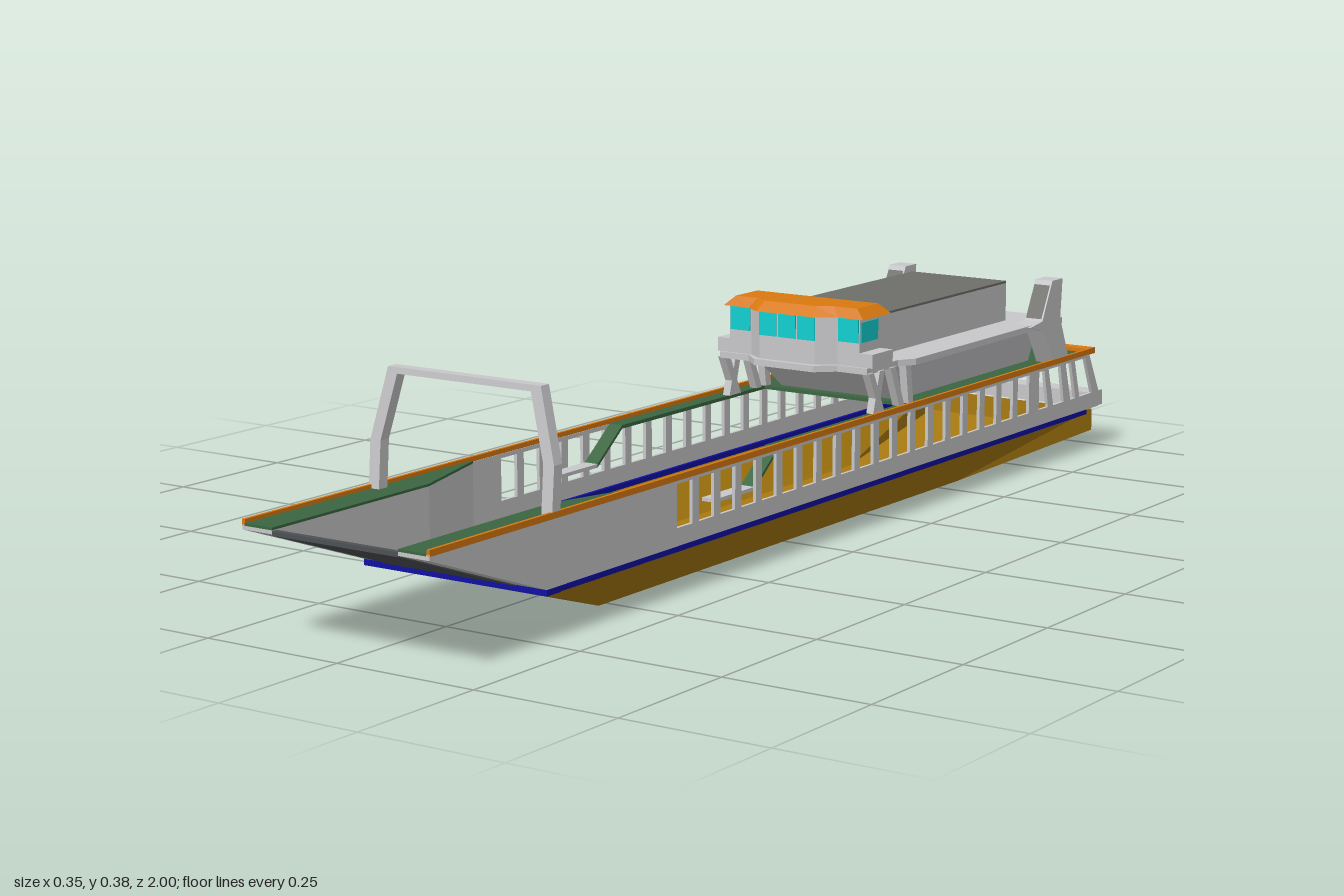
import * as THREE from 'three';

const mat = (name, color, double) => {
  const m = new THREE.MeshStandardMaterial({ color });
  m.name = name;
  if (double) m.side = THREE.DoubleSide;
  return m;
};

export function createModel() {
  const ship = new THREE.Group();
  ship.name = 'vehicleFerry';
  const grey = mat('lightGrey', 0xc8c8ca), gold = mat('gold', 0xa87a10, true);
  const navy = mat('navy', 0x1010a4), green = mat('deckGreen', 0x3b6641);
  const orange = mat('orange', 0xd9790f), cyan = mat('windowCyan', 0x10d0d2);
  const roofGrey = mat('roofGrey', 0x6e6e6b), rampGrey = mat('rampGrey', 0x4e5153);

  const add = (name, geo, m, parent = ship) => {
    const mesh = new THREE.Mesh(geo, m);
    mesh.name = name;
    parent.add(mesh);
    return mesh;
  };
  // Box given by its limits
  const box = (name, m, x0, x1, y0, y1, z0, z1, parent) => add(name,
    new THREE.BoxGeometry(x1 - x0, y1 - y0, z1 - z0)
      .translate((x0 + x1) / 2, (y0 + y1) / 2, (z0 + z1) / 2), m, parent);
  const toShape = (pts, holes = []) => {
    const s = new THREE.Shape(pts.map(p => new THREE.Vector2(...p)));
    s.holes = holes.map(h => new THREE.Path(h.map(p => new THREE.Vector2(...p))));
    return s;
  };
  const extrude = (pts, depth, holes) =>
    new THREE.ExtrudeGeometry(toShape(pts, holes), { depth, bevelEnabled: false });
  // Side profile in (z, y), spanning x0..x1
  const profile = (pts, x0, x1, holes) =>
    extrude(pts, x1 - x0, holes).rotateY(-Math.PI / 2).translate(x1, 0, 0);
  // Plan outline in (x, z), spanning y0..y1
  const plan = (pts, y0, y1) => extrude(pts, y1 - y0).rotateX(Math.PI / 2).translate(0, y1, 0);
  // Mirror a half outline across x = 0
  const both = half => [...half, ...half.map(([x, b]) => [-x, b]).reverse()];
  // Faces from corner loops
  const faces = loops => {
    const p = [];
    for (const l of loops)
      for (let i = 1; i < l.length - 1; i++) p.push(...l[0], ...l[i], ...l[i + 1]);
    const g = new THREE.BufferGeometry();
    g.setAttribute('position', new THREE.Float32BufferAttribute(p, 3));
    g.computeVertexNormals();
    return g;
  };

  // Open hull shell with sloping sides, bow and stern
  const mir = ([x, y, z]) => [-x, y, z];
  const A = [0.115, 0, 0.52], B = [0.115, 0, -0.57], C = [0.175, 0.069, 0.73];
  const D = [0.175, 0.075, -0.96], E = [0.175, 0.035, -0.96];
  const sideFaces = [[A, B, D, C], [B, E, D]];
  add('hull', faces([
    ...sideFaces, ...sideFaces.map(f => f.map(mir).reverse()),
    [A, C, mir(C), mir(A)], [B, A, mir(A), mir(B)], [E, B, mir(B), mir(E)], [D, E, mir(E), mir(D)],
  ]), gold);

  // Waterline band at the bow, and stern beam
  box('bowBand', navy, -0.175, 0.175, 0.067, 0.077, 0.695, 0.73);
  box('sternBeam', grey, -0.175, 0.175, 0.078, 0.106, -1, -0.957);

  // Bow ramp
  add('bowRamp', profile([[0.72, 0.077], [0.73, 0.075], [1, 0.173], [1, 0.18], [0.99, 0.18]],
    -0.118, 0.118), rampGrey);

  // Parts repeated on both sides
  const makeSide = (name, s) => {
    const g = new THREE.Group();
    g.name = name;
    g.scale.x = s;
    ship.add(g);
    box('waterlineLedge', navy, 0.163, 0.1752, 0.068, 0.077, -0.94, 0.73, g);

    // Side wall with a row of openings
    const holes = [];
    for (let i = 0; i < 19; i++) {
      const z = 0.395 - i * 0.0595;
      holes.push([[z, 0.106], [z, 0.176], [z - 0.042, 0.176], [z - 0.042, 0.106]]);
    }
    holes.push([[-0.755, 0.106], [-0.755, 0.176], [-0.775, 0.176], [-0.79, 0.106]]);
    holes.push([[-0.81, 0.106], [-0.79, 0.176], [-0.835, 0.176], [-0.85, 0.106]]);
    holes.push([[-0.875, 0.106], [-0.855, 0.176], [-0.875, 0.176], [-0.895, 0.106]]);
    holes.push([[-0.91, 0.106], [-0.89, 0.176], [-0.93, 0.176], [-0.96, 0.106]]);
    add('sideWall', profile([[1, 0.183], [1, 0.175], [0.73, 0.077], [-0.985, 0.077],
      [-0.985, 0.106], [-0.945, 0.183]], 0.169, 0.175, holes), grey, g);
    box('orangeRail', orange, 0.17, 0.1756, 0.181, 0.191, -0.945, 1, g);

    // Hollow-looking bow box that flares into the side wall
    const ring = ([z, x, y]) => [[x, y, z], [0.172, y, z], [0.172, 0.181, z], [x, 0.181, z]];
    const rings = [[0.47, 0.167, 0.077], [0.64, 0.118, 0.077], [0.73, 0.118, 0.077],
      [1, 0.118, 0.175]].map(ring);
    const loops = [[...rings[0]].reverse(), rings[3]];
    for (let i = 0; i < 3; i++)
      for (let k = 0; k < 4; k++) {
        const n = (k + 1) % 4;
        loops.push([rings[i][k], rings[i][n], rings[i + 1][n], rings[i + 1][k]]);
      }
    add('bowBox', faces(loops), grey, g);
    add('bowDeck', plan([[0.167, 0.47], [0.118, 0.64], [0.118, 1], [0.171, 1], [0.171, 0.47]],
      0.181, 0.185), green, g);

    // Walkway, stair and landing
    box('walkway', green, 0.143, 0.17, 0.178, 0.184, -0.33, 0.1, g);
    add('stair', profile([[0.1, 0.184], [0.17, 0.13], [0.17, 0.124], [0.1, 0.178]],
      0.143, 0.169), green, g);
    box('landing', grey, 0.143, 0.169, 0.124, 0.13, 0.17, 0.28, g);

    // Slanted props below the bridge deck
    for (const [zt, zb, x] of [[-0.2, -0.235, 0.14], [-0.235, -0.215, 0.14], [-0.27, -0.3, 0.14],
      [-0.32, -0.33, 0.14]])
      add('bridgeProp', profile([[zt, 0.255], [zt - 0.016, 0.255], [zb - 0.016, 0.184],
        [zb, 0.184]], x, x + 0.014), grey, g);

    // Funnel with raked foot
    add('funnel', profile([[-0.72, 0.262], [-0.765, 0.268], [-0.8, 0.338], [-0.838, 0.338],
      [-0.832, 0.265], [-0.868, 0.184], [-0.81, 0.184], [-0.77, 0.25]], 0.138, 0.174), grey, g);
    add('funnelRecess', faces([[[0.14, 0.272, -0.7643], [0.172, 0.272, -0.7643],
      [0.172, 0.33, -0.7941], [0.14, 0.33, -0.7941]]]), roofGrey, g);

    // Bridge wing
    box('bridgeWing', grey, 0.13, 0.158, 0.264, 0.288, -0.27, -0.205, g);
    add('aftBrace', profile([[-0.8, 0.25], [-0.815, 0.25], [-0.86, 0.184], [-0.845, 0.184]],
      0.05, 0.065), grey, g);
  };
  makeSide('leftSide', 1);
  makeSide('rightSide', -1);

  // Upper deck over the stern, with its orange edge
  box('sternDeck', green, -0.17, 0.17, 0.178, 0.184, -0.945, -0.33);
  box('sternRail', orange, -0.175, 0.175, 0.18, 0.191, -0.968, -0.943);

  // Bow gantry, leaning forward at the foot
  const gantry = extrude(both([[0.175, 0.183], [0.175, 0.26], [0.145, 0.375]])
    .concat([[-0.155, 0.183], [-0.155, 0.26], [-0.127, 0.365], [0.127, 0.365],
      [0.155, 0.26], [0.155, 0.183]]), 0.02);
  const gp = gantry.attributes.position;
  for (let i = 0; i < gp.count; i++) gp.setZ(i, gp.getZ(i) + 0.695 - (gp.getY(i) - 0.183) * 0.08);
  gantry.computeVertexNormals();
  add('bowGantry', gantry, grey);

  // Lower house, narrower at its foot
  const base = new THREE.BoxGeometry(0.28, 0.07, 0.53).translate(0, 0.219, -0.545);
  const bp = base.attributes.position;
  for (let i = 0; i < bp.count; i++)
    if (bp.getY(i) < 0.2) {
      bp.setX(i, bp.getX(i) * 0.86);
      if (bp.getZ(i) > -0.5) bp.setZ(i, -0.35);
    }
  base.computeVertexNormals();
  add('lowerHouse', base, grey);

  // Bridge deck and long upper house
  add('bridgeDeck', plan(both([[0.168, -0.85], [0.168, -0.33], [0.15, -0.3], [0.15, -0.2],
    [0.09, -0.2], [0.06, -0.172]]), 0.253, 0.264), grey);
  box('upperHouse', grey, -0.1, 0.1, 0.264, 0.333, -0.76, -0.27);
  box('houseRoof', roofGrey, -0.1, 0.1, 0.333, 0.337, -0.76, -0.28);

  // Wheelhouse with a stepped front
  add('wheelhouse', plan(both([[0.132, -0.28], [0.132, -0.205], [0.088, -0.205], [0.056, -0.183]]),
    0.264, 0.347), grey);
  for (const x of [-0.039, 0, 0.039])
    box('frontWindow', cyan, x - 0.0175, x + 0.0175, 0.305, 0.345, -0.184, -0.181);
  for (const s of [-1, 1]) {
    const wing = new THREE.Group();
    wing.name = 'wheelhouseSideWindows';
    wing.scale.x = s;
    ship.add(wing);
    box('outerWindow', cyan, 0.09, 0.13, 0.305, 0.345, -0.206, -0.203, wing);
    box('sideWindow', cyan, 0.131, 0.1335, 0.305, 0.34, -0.262, -0.208, wing);
  }

  // Orange roof, tapering upward
  const roof = plan(both([[0.142, -0.29], [0.142, -0.2], [0.09, -0.2], [0.06, -0.178]]), 0.346, 0.363);
  const rp = roof.attributes.position;
  for (let i = 0; i < rp.count; i++)
    if (rp.getY(i) > 0.355) {
      rp.setX(i, rp.getX(i) * 0.87);
      rp.setZ(i, -0.24 + (rp.getZ(i) + 0.24) * 0.75);
    }
  roof.computeVertexNormals();
  add('wheelhouseRoof', roof, orange);

  return ship;
}
